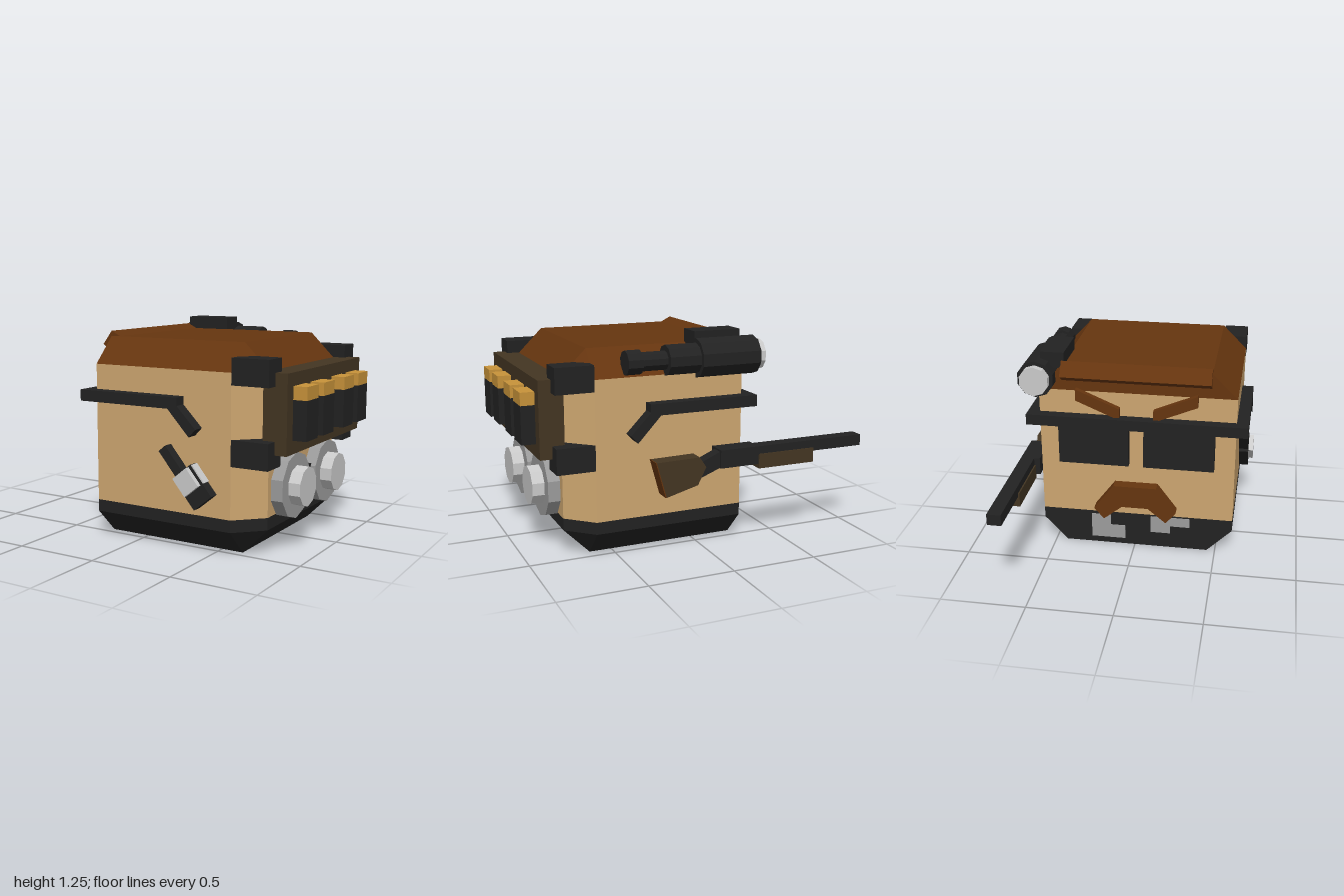
import * as THREE from 'three';

const mat = (name, color) => {
  const m = new THREE.MeshStandardMaterial({ color });
  m.name = name;
  return m;
};

export function createModel() {
  const skin = mat('tan skin', 0xcda670);
  const black = mat('black', 0x222222);
  const hairBrown = mat('brown', 0x66350f);
  const olive = mat('dark olive', 0x433522);
  const brass = mat('brass', 0xc8933a);
  const grey = mat('grey', 0x9c9c9c);
  const light = mat('light grey', 0xcacaca);

  const model = new THREE.Group();
  const add = (name, geo, material, parent = model) => {
    const mesh = new THREE.Mesh(geo, material);
    mesh.name = name;
    parent.add(mesh);
    return mesh;
  };
  // Box given by its low and high limits on each axis
  const box = (name, m, [x0, x1], [y0, y1], [z0, z1], parent) => {
    const b = add(name, new THREE.BoxGeometry(x1 - x0, y1 - y0, z1 - z0), m, parent);
    b.position.set((x0 + x1) / 2, (y0 + y1) / 2, (z0 + z1) / 2);
    return b;
  };
  // Outline in x,y extruded from z0 to z1
  const plate = (name, m, pts, z0, z1, parent) => {
    const shape = new THREE.Shape(pts.map(p => new THREE.Vector2(...p)));
    const geo = new THREE.ExtrudeGeometry(shape, { depth: z1 - z0, bevelEnabled: false });
    geo.translate(0, 0, z0);
    return add(name, geo, m, parent);
  };
  // Outline in z,y standing out of the face towards -x
  const facePlate = (name, m, pts, depth) => {
    const p = plate(name, m, pts, 0, depth);
    p.rotation.y = -Math.PI / 2;
    p.position.x = -0.25;
    return p;
  };
  // Ten-sided cylinder lying along x
  const drum = (name, m, x0, x1, r, y, z, parent) => {
    const geo = new THREE.CylinderGeometry(r, r, x1 - x0, 10).toNonIndexed();
    geo.computeVertexNormals();
    geo.rotateZ(-Math.PI / 2);
    geo.rotateX(Math.PI / 2);
    const d = add(name, geo, m, parent);
    d.position.set((x0 + x1) / 2, y, z);
    return d;
  };
  // Flat-sided solid through rings of x,z points at given heights
  const loft = (name, m, rings) => {
    const v = [];
    const n = rings[0].pts.length;
    const put = (r, i) => v.push(r.pts[i % n][0], r.y, r.pts[i % n][1]);
    for (let k = 0; k < rings.length - 1; k++) {
      const a = rings[k], b = rings[k + 1];
      for (let i = 0; i < n; i++) {
        put(a, i); put(a, i + 1); put(b, i + 1);
        put(a, i); put(b, i + 1); put(b, i);
      }
    }
    const lo = rings[0], hi = rings[rings.length - 1];
    for (let i = 1; i < n - 1; i++) {
      put(lo, 0); put(lo, i + 1); put(lo, i);
      put(hi, 0); put(hi, i); put(hi, i + 1);
    }
    const geo = new THREE.BufferGeometry();
    geo.setAttribute('position', new THREE.Float32BufferAttribute(v, 3));
    geo.computeVertexNormals();
    return add(name, geo, m);
  };

  // Head: a block with chamfered rear corners, dark base and sloped hair
  const wide = [[-0.25, 0.6], [0.63, 0.6], [0.78, 0.45], [0.78, -0.43], [0.63, -0.57], [-0.25, -0.57]];
  const narrow = [[-0.25, 0.45], [0.63, 0.45], [0.63, 0.45], [0.63, -0.43], [0.63, -0.43], [-0.25, -0.43]];
  loft('base', black, [{ y: 0, pts: narrow }, { y: 0.15, pts: wide }, { y: 0.22, pts: wide }]);
  loft('head', skin, [{ y: 0.22, pts: wide }, { y: 1.02, pts: wide }]);
  loft('hair', hairBrown, [{ y: 1.02, pts: wide }, { y: 1.17, pts: narrow }]);
  plate('hairFringe', hairBrown, [[-0.19, 1.17], [-0.25, 1.2], [-0.31, 1.12], [-0.25, 1.08]], -0.43, 0.45);

  // Face: brows, moustache, mouth patches
  for (const s of [-1, 1]) {
    const z = d => 0.015 + s * d;
    facePlate('brow', hairBrown, [[z(0.1), 0.86], [z(0.36), 0.97], [z(0.36), 1.04], [z(0.1), 0.93]], 0.035);
  }
  facePlate('moustache', hairBrown, [[-0.24, 0.28], [-0.12, 0.44], [0.14, 0.44], [0.26, 0.28],
    [0.2, 0.21], [0.09, 0.3], [-0.07, 0.3], [-0.18, 0.21]], 0.07);
  facePlate('mouthPatch', grey, [[-0.27, 0.04], [-0.06, 0.04], [-0.06, 0.13], [-0.15, 0.13], [-0.15, 0.2], [-0.27, 0.2]], 0.004);
  facePlate('mouthPatch', grey, [[0.1, 0.1], [0.22, 0.1], [0.22, 0.15], [0.34, 0.15], [0.34, 0.21], [0.1, 0.21]], 0.004);

  // Sunglasses: brow bar, two lenses and bent arms
  const glasses = new THREE.Group();
  glasses.name = 'sunglasses';
  model.add(glasses);
  box('glassesBar', black, [-0.315, -0.25], [0.81, 0.875], [-0.64, 0.67], glasses);
  box('lens', black, [-0.3, -0.25], [0.57, 0.82], [0.06, 0.48], glasses);
  box('lens', black, [-0.3, -0.25], [0.57, 0.82], [-0.45, -0.03], glasses);
  const arm = [[-0.25, 0.81], [0.275, 0.81], [0.41, 0.665], [0.452, 0.71], [0.335, 0.83], [0.335, 0.875], [-0.25, 0.875]];
  plate('glassesArm', black, arm, 0.6, 0.67, glasses);
  plate('glassesArm', black, arm, -0.64, -0.57, glasses);

  // Ammunition panel with corner blocks and shells
  box('shellPanel', olive, [0.78, 0.92], [0.588, 1.025], [-0.495, 0.525]);
  for (const [z0, z1] of [[0.45, 0.6], [-0.57, -0.43]]) {
    for (const y of [0.515, 0.953]) box('cornerBlock', black, [0.63, 0.85], [y, y + 0.146], [z0, z1]);
  }
  for (const z of [0.38, 0.161, -0.131, -0.35]) {
    box('shell', black, [0.92, 1], [0.663, 0.88], [z - 0.074, z + 0.074]);
    box('shellCap', brass, [0.92, 1], [0.88, 0.953], [z - 0.074, z + 0.074]);
  }

  // Round canisters joined by a strap
  for (const z of [0.233, -0.205]) {
    drum('canisterRim', grey, 0.78, 0.85, 0.19, 0.368, z);
    drum('canisterCore', light, 0.85, 0.92, 0.114, 0.368, z);
  }
  box('canisterStrap', black, [0.78, 0.82], [0.295, 0.44], [-0.1, 0.12]);

  // Tilted lighter-like tool on the front side, local y along its length
  const tool = new THREE.Group();
  tool.name = 'handTool';
  tool.position.set(0.425, 0.388, 0.6);
  tool.rotation.z = 0.69;
  model.add(tool);
  box('toolBody', black, [-0.07, 0.07], [-0.105, 0.105], [0, 0.06], tool);
  box('toolHandle', black, [-0.05, 0.005], [0.105, 0.275], [0, 0.06], tool);
  box('toolPlate', light, [-0.055, 0.055], [-0.02, 0.1], [0.06, 0.09], tool);
  box('toolSidePlate', light, [0.07, 0.078], [-0.02, 0.1], [0, 0.055], tool);

  // Long gun on the back side
  const gun = new THREE.Group();
  gun.name = 'longGun';
  model.add(gun);
  box('barrel', black, [-1, -0.31], [0.52, 0.585], [-0.685, -0.605], gun);
  box('foregrip', olive, [-0.67, -0.31], [0.455, 0.54], [-0.692, -0.597], gun);
  box('receiver', black, [-0.31, -0.07], [0.48, 0.585], [-0.685, -0.57], gun);
  plate('stockNeck', black, [[-0.07, 0.48], [0.06, 0.43], [0.08, 0.51], [-0.07, 0.575]], -0.67, -0.6, gun);
  plate('stock', olive, [[0.32, 0.555], [0.06, 0.56], [0.02, 0.5], [0.07, 0.4], [0.26, 0.35]], -0.682, -0.592, gun);
  plate('buttPlate', hairBrown, [[0.325, 0.557], [0.32, 0.557], [0.26, 0.35], [0.267, 0.35]], -0.682, -0.592, gun);

  // Scope on the upper back edge
  const scope = new THREE.Group();
  scope.name = 'scope';
  model.add(scope);
  const sections = [[-0.355, -0.31, 0.088, light], [-0.315, 0.04, 0.11, black], [0.04, 0.225, 0.085, black],
    [0.225, 0.375, 0.053, black], [0.375, 0.46, 0.068, black]];
  for (const [x0, x1, r, m] of sections) drum(m === light ? 'scopeLens' : 'scopeTube', m, x0, x1, r, 1.1, -0.572, scope);
  box('scopeMount', black, [-0.24, 0.04], [1.15, 1.245], [-0.555, -0.415], scope);

  return model;
}
